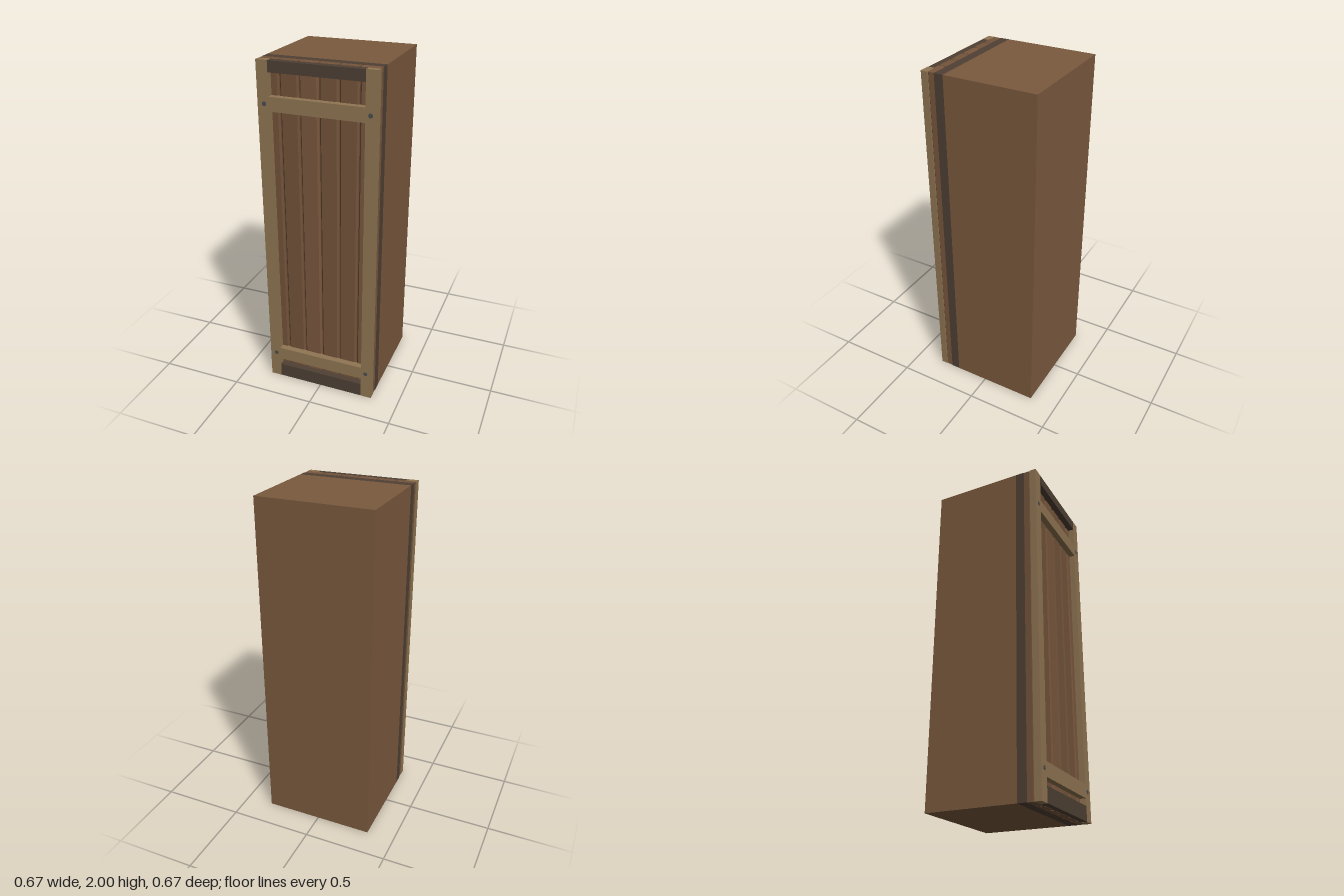
import * as THREE from 'three';

const mat = (color) => new THREE.MeshStandardMaterial({ color, flatShading: true });
const body = mat(0x7b5a3e), dark = mat(0x4f4034), light = mat(0x8f7552), metal = mat(0x4a4f4f);
const plankMats = [0x72533a, 0x72533a, 0x7a573d, 0x73543a, 0x73543a, 0x7a583e].map(mat);

const H = 2, W = 0.333;

export function createModel() {
  const group = new THREE.Group();
  const add = (name, geometry, material) => {
    const mesh = new THREE.Mesh(geometry, material);
    mesh.name = name;
    group.add(mesh);
    return mesh;
  };
  // Box given by its limits
  const box = (name, material, x0, x1, y0, y1, z0, z1) =>
    add(name, new THREE.BoxGeometry(x1 - x0, y1 - y0, z1 - z0), material)
      .position.set((x0 + x1) / 2, (y0 + y1) / 2, (z0 + z1) / 2);

  box('body', body, -W, W, 0, H, -W, 0.2);
  box('backingPanel', dark, -W, W, 0, H, 0.2, 0.253);

  // Upright planks with chamfered front edges
  const pitch = 2 * W / 6, half = pitch / 2 - 0.0025, depth = 0.044, c = 0.009;
  const section = new THREE.Shape([
    [-half, 0], [half, 0], [half, -depth + c], [half - c, -depth], [-half + c, -depth], [-half, -depth + c],
  ].map(([x, y]) => new THREE.Vector2(x, y)));
  const plankGeometry = new THREE.ExtrudeGeometry(section, { depth: H, bevelEnabled: false });
  plankGeometry.rotateX(-Math.PI / 2);
  plankMats.forEach((m, i) => {
    add('plank' + (i + 1), plankGeometry, m).position.set(-W + pitch * (i + 0.5), 0, 0.253);
  });

  // Light frame: two stiles joined by two crossbars, cut as one piece
  const s = 0.267, bars = [[0.13, 0.21], [1.73, 1.81]];
  const outline = [
    [-W, 0], [-s, 0], [-s, bars[0][0]], [s, bars[0][0]], [s, 0], [W, 0],
    [W, H], [s, H], [s, bars[1][1]], [-s, bars[1][1]], [-s, H], [-W, H],
  ].map(([x, y]) => new THREE.Vector2(x, y));
  const frame = new THREE.Shape(outline);
  frame.holes.push(new THREE.Path([
    [-s, bars[0][1]], [-s, bars[1][0]], [s, bars[1][0]], [s, bars[0][1]],
  ].map(([x, y]) => new THREE.Vector2(x, y))));
  add('frame', new THREE.ExtrudeGeometry(frame, { depth: 0.04, bevelEnabled: false }), light).position.z = 0.293;

  // Dark rails closing the frame at the foot and the head
  box('bottomRail', dark, -s, s, 0.001, 0.087, 0.28, W);
  box('topRail', dark, -s, s, 1.937, H - 0.001, 0.28, W);

  // Bolts where the crossbars meet the stiles
  const boltGeometry = new THREE.CylinderGeometry(0.013, 0.013, 0.02, 12).rotateX(Math.PI / 2);
  for (const x of [-0.295, 0.295]) {
    for (const [y0, y1] of bars) {
      add('bolt', boltGeometry, metal).position.set(x, (y0 + y1) / 2, 0.324);
    }
  }
  return group;
}
